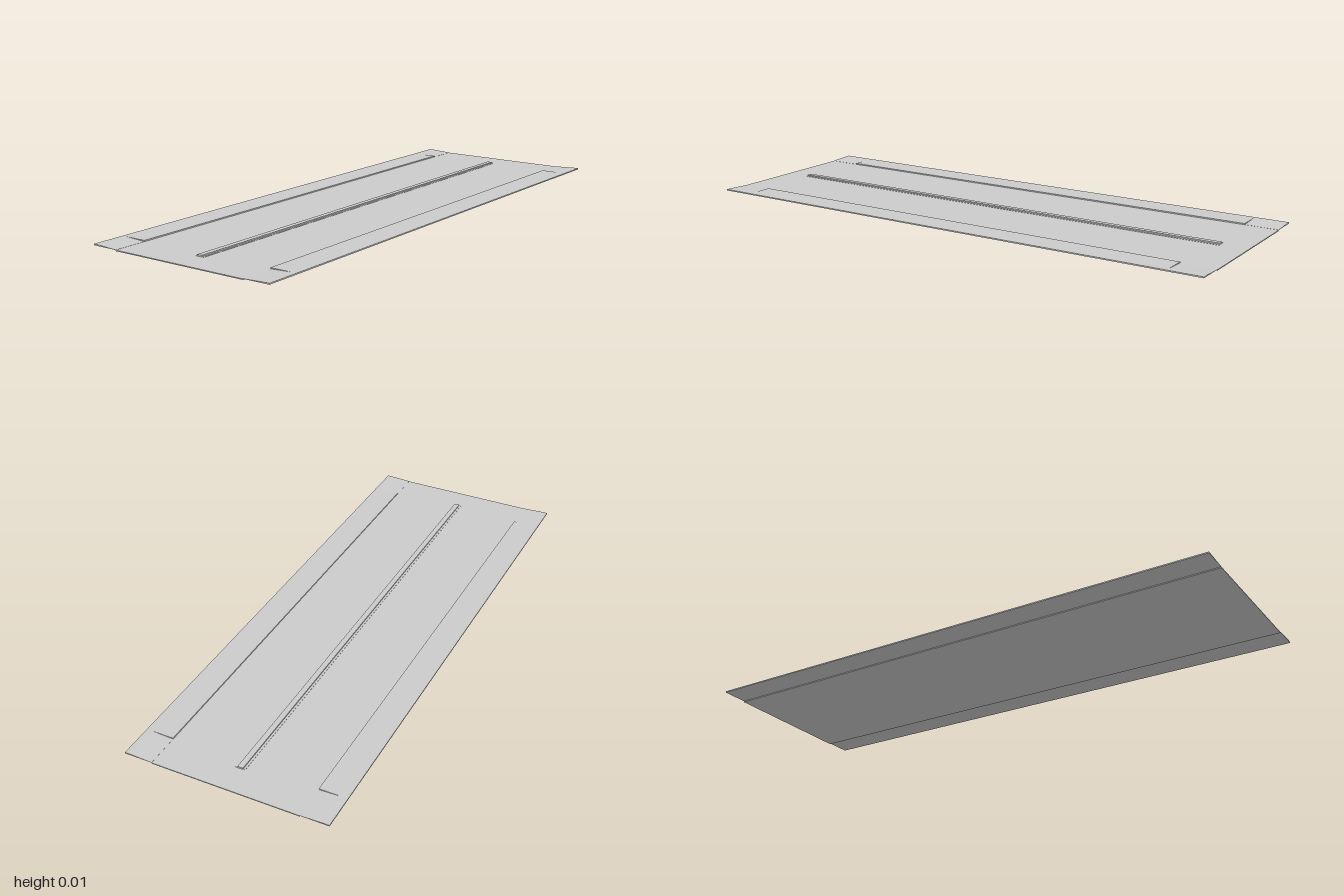
import * as THREE from 'three';

const ROAD_X = 0.267, EDGE_X = 0.368, HALF_Z = 1, RAMP_Z = 0.876;
const ROAD_TOP = 0.0035, WALK_BOTTOM = 0.0035, WALK_TOP = 0.008;

export function createModel() {
  const group = new THREE.Group();
  const material = new THREE.MeshStandardMaterial({ color: 0xcccccc, flatShading: true });

  const add = (name, geometry, x = 0, y = 0, z = 0) => {
    const mesh = new THREE.Mesh(geometry, material);
    mesh.name = name;
    mesh.position.set(x, y, z);
    group.add(mesh);
  };

  // Box standing on a given height
  const slab = (name, w, h, d, x, bottom, z) =>
    add(name, new THREE.BoxGeometry(w, h, d), x, bottom + h / 2, z);

  // Carriageway
  slab('roadSurface', ROAD_X * 2, ROAD_TOP, HALF_Z * 2, 0, 0, 0);

  // Central divider: narrow kerb on a wider, very low footing
  slab('dividerFooting', 0.036, 0.001, 1.8, 0, ROAD_TOP, 0);
  slab('dividerKerb', 0.02, 0.0055, 1.8, 0, ROAD_TOP, 0);

  // Raised pavements, with kerb ramps falling toward the road at each end
  const rampLength = HALF_Z - RAMP_Z;
  for (const side of [-1, 1]) {
    const name = side > 0 ? 'left' : 'right';
    slab(name + 'Pavement', EDGE_X - ROAD_X, WALK_TOP - WALK_BOTTOM, RAMP_Z * 2,
      side * (EDGE_X + ROAD_X) / 2, WALK_BOTTOM, 0);

    const profile = new THREE.Shape([
      [ROAD_X, WALK_BOTTOM], [EDGE_X, WALK_BOTTOM], [EDGE_X, WALK_TOP],
      [0.35, WALK_TOP], [ROAD_X, WALK_BOTTOM + 0.0005],
    ].map(([x, y]) => new THREE.Vector2(side * x, y)));
    for (const end of [-1, 1]) {
      const ramp = new THREE.ExtrudeGeometry(profile, { depth: rampLength, bevelEnabled: false });
      add(name + (end > 0 ? 'Front' : 'Back') + 'KerbRamp', ramp, 0, 0, end > 0 ? RAMP_Z : -HALF_Z);
    }
  }
  return group;
}
